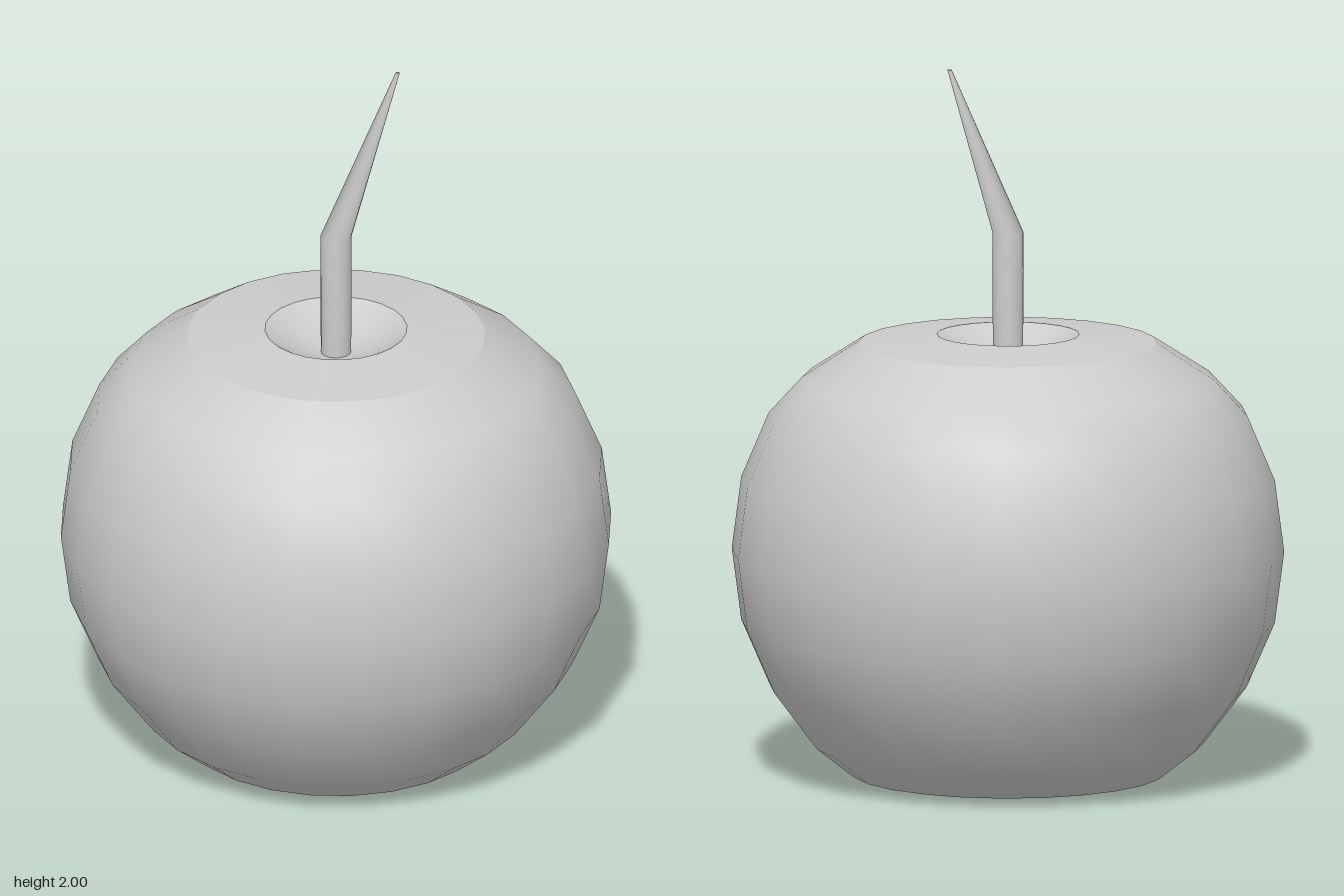
import * as THREE from 'three';

const SEGMENTS = 24;

// Smooth lathe from [radius, height] pairs, listed so that faces point outwards
function lathe(points, segments) {
  return new THREE.LatheGeometry(points.map(([r, y]) => new THREE.Vector2(r, y)), segments);
}

export function createModel() {
  const group = new THREE.Group();
  const material = new THREE.MeshStandardMaterial({ color: 0xcccccc });

  function add(name, geometry) {
    const mesh = new THREE.Mesh(geometry, material);
    mesh.name = name;
    group.add(mesh);
  }

  // Fruit: separate bands, so the edges between them stay sharp
  const bands = {
    bottomHollow: [[0, 0.11], [0.12, 0.095], [0.23, 0.055], [0.32, 0]],
    bottomRim: [[0.32, 0], [0.435, 0.017]],
    fruitBody: [
      [0.435, 0.017], [0.54, 0.1], [0.66, 0.26], [0.738, 0.44], [0.764, 0.64],
      [0.738, 0.84], [0.662, 1.02], [0.57, 1.12], [0.413, 1.222],
    ],
    topRim: [[0.413, 1.222], [0.197, 1.245]],
    stemHollow: [[0.197, 1.245], [0.12, 1.2], [0.05, 1.175], [0, 1.17]],
  };
  for (const [name, points] of Object.entries(bands)) add(name, lathe(points, SEGMENTS));

  // Stem: straight below, then leaning to +x and tapering to a point
  const bendY = 1.53, tipY = 2, lean = 0.182;
  const stem = lathe([[0.042, 1.16], [0.043, bendY], [0.006, tipY], [0, tipY]], 16);
  const position = stem.attributes.position;
  for (let i = 0; i < position.count; i++) {
    const t = Math.max(0, (position.getY(i) - bendY) / (tipY - bendY));
    position.setX(i, position.getX(i) + lean * t);
  }
  add('stem', stem);

  return group;
}
